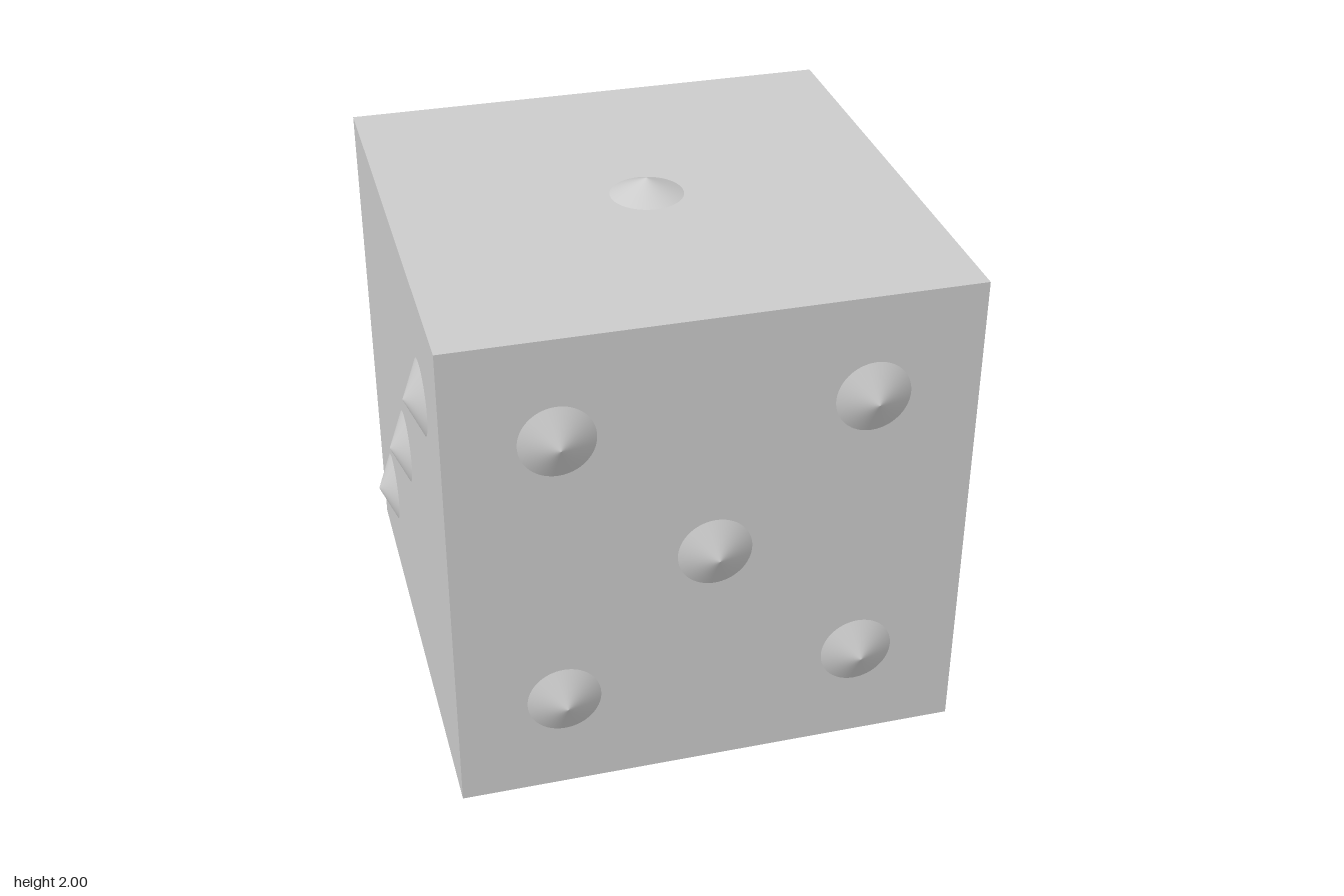
import * as THREE from 'three';

const HALF = 0.9375;   // half the cube's edge
const PIP_R = 0.135;   // pip base radius
const PIP_H = 0.0625;  // pip height
const D = 0.55;        // pip offset from the face centre

export function createModel() {
  const model = new THREE.Group();
  model.name = 'die';
  const material = new THREE.MeshStandardMaterial({ color: 0xcccccc });

  // Cube body
  const body = new THREE.Mesh(new THREE.BoxGeometry(2 * HALF, 2 * HALF, 2 * HALF), material);
  body.name = 'body';
  body.position.y = 1;
  model.add(body);

  // Shallow cone pip, base at the origin, pointing up
  const pipGeometry = new THREE.ConeGeometry(PIP_R, PIP_H, 64, 1, true);
  pipGeometry.translate(0, PIP_H / 2, 0);

  // Each face: outward normal, the two in-plane axes, and the pip positions on them
  const corners = [[-1, -1], [1, -1], [-1, 1], [1, 1]];
  const faces = [
    { name: 'topPips', normal: [0, 1, 0], axes: ['x', 'z'], pips: [[0, 0]] },
    { name: 'backPips', normal: [0, 0, -1], axes: ['x', 'y'], pips: [[1, 1], [-1, -1]] },
    { name: 'leftHandPips', normal: [-1, 0, 0], axes: ['z', 'y'], pips: [[-1, -1], [0, 0], [1, 1]] },
    { name: 'rightHandPips', normal: [1, 0, 0], axes: ['z', 'y'], pips: corners },
    { name: 'frontPips', normal: [0, 0, 1], axes: ['x', 'y'], pips: [...corners, [0, 0]] },
    { name: 'bottomPips', normal: [0, -1, 0], axes: ['x', 'z'], pips: [...corners, [-1, 0], [1, 0]] },
  ];
  // The model's own left is +x
  faces[2].name = 'rightPips';
  faces[3].name = 'leftPips';

  const up = new THREE.Vector3(0, 1, 0);
  for (const { name, normal, axes, pips } of faces) {
    const group = new THREE.Group();
    group.name = name;
    group.position.y = 1;
    const n = new THREE.Vector3(...normal);
    for (const [u, v] of pips) {
      const pip = new THREE.Mesh(pipGeometry, material);
      pip.name = 'pip';
      pip.position.copy(n).multiplyScalar(HALF);
      pip.position[axes[0]] = u * D;
      pip.position[axes[1]] = v * D;
      pip.quaternion.setFromUnitVectors(up, n);
      group.add(pip);
    }
    model.add(group);
  }
  return model;
}
